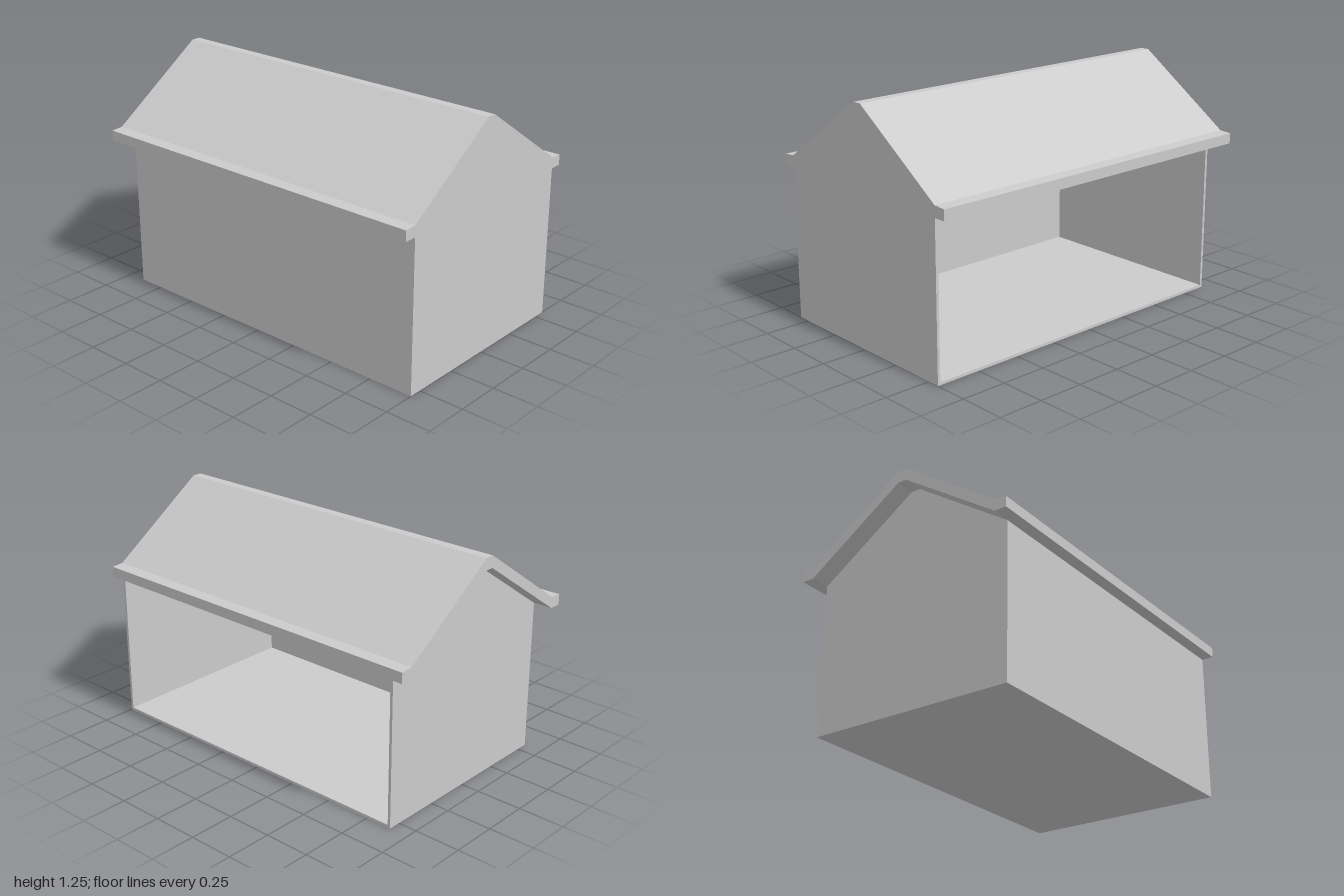
import * as THREE from 'three';

const W = 0.567;      // half depth of the walls
const T = 0.015;      // wall and floor thickness
const X0 = -0.895, X1 = 1; // wall ends; the roof overhangs at -x

const material = new THREE.MeshStandardMaterial({ color: 0xcccccc, flatShading: true });

// Extrude a (z, y) outline along x from xMin to xMax
function extrudeX(name, points, xMin, xMax) {
  const shape = new THREE.Shape(points.map(([z, y]) => new THREE.Vector2(-z, y)));
  const geometry = new THREE.ExtrudeGeometry(shape, { depth: xMax - xMin, bevelEnabled: false });
  geometry.rotateY(Math.PI / 2);
  geometry.translate(xMin, 0, 0);
  const mesh = new THREE.Mesh(geometry, material);
  mesh.name = name;
  return mesh;
}

// Complete a half outline by mirroring it across z = 0
const mirrored = half => [...half, ...half.map(([z, y]) => [-z, y]).reverse()];

export function createModel() {
  const group = new THREE.Group();
  group.name = 'openBackShed';

  // Folded roof slab with flat ridge and square eaves
  const top = [[0.633, 0.878], [0.567, 0.882], [0.025, 1.253]];
  const under = [[0.025, 1.19], [W, 0.822], [0.633, 0.822]];
  const outline = [
    ...mirrored(top),
    ...under.map(([z, y]) => [-z, y]).reverse(),
    ...under,
  ];
  group.add(extrudeX('roof', outline, -1, 1));

  // Gable end walls reaching up to the underside of the roof
  const gable = mirrored([[W, 0], [W, 0.822], [0.025, 1.19]]);
  group.add(extrudeX('leftGableWall', gable, X1 - T, X1));
  group.add(extrudeX('rightGableWall', gable, X0, X0 + T));

  // Front wall and floor between the gables; the back stays open
  const front = [[W, 0], [W, 0.822], [W - T, 0.832], [W - T, 0]];
  group.add(extrudeX('frontWall', front, X0 + T, X1 - T));
  const floor = [[W - T, 0], [W - T, T], [-W, T], [-W, 0]];
  group.add(extrudeX('floor', floor, X0 + T, X1 - T));

  return group;
}
